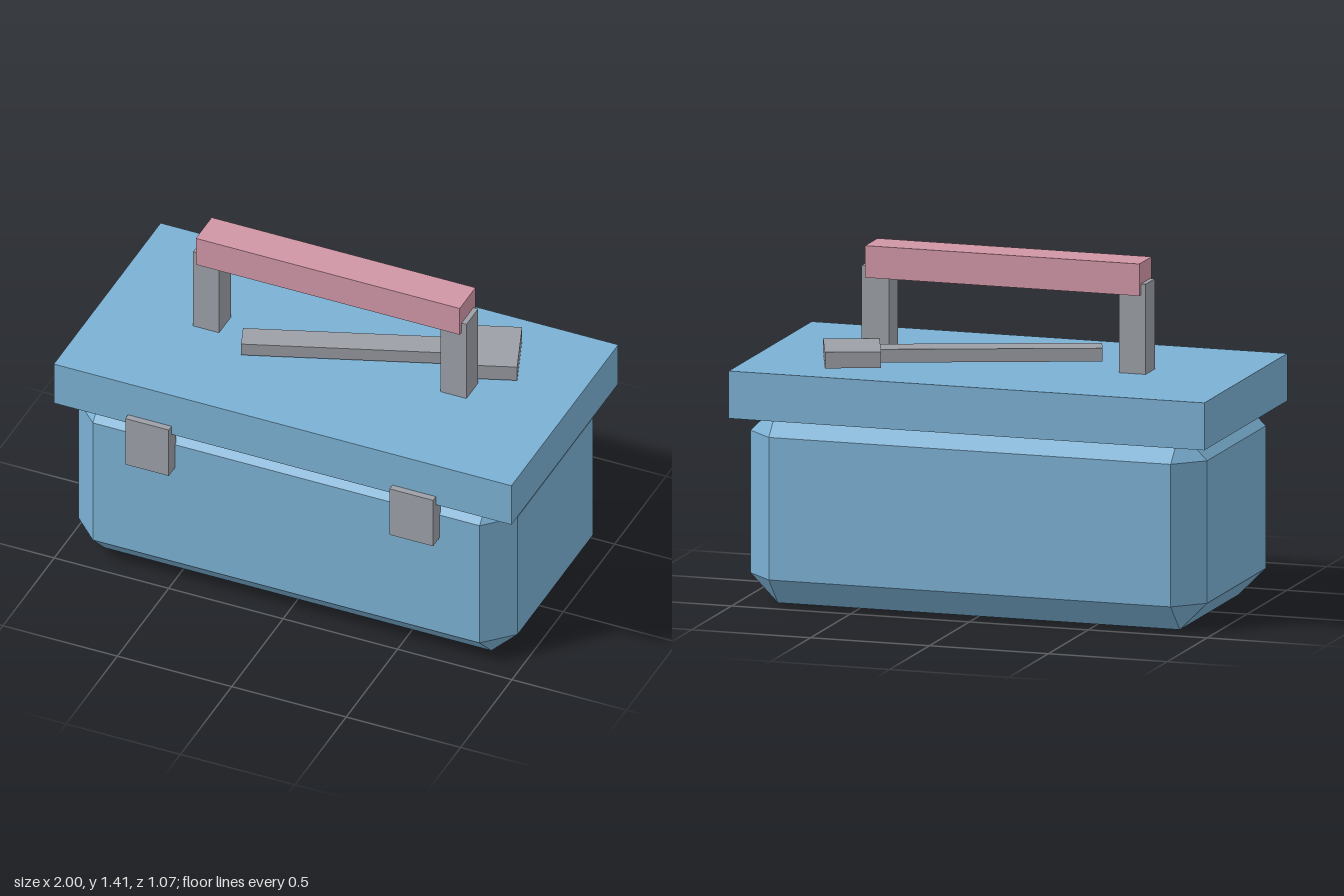
import * as THREE from 'three';
import { ConvexGeometry } from 'three/addons/geometries/ConvexGeometry.js';

const material = (name, color) => {
  const m = new THREE.MeshStandardMaterial({ color });
  m.name = name;
  return m;
};

// Box given by its minimum and maximum on each axis
function block(name, mat, [x0, x1], [y0, y1], [z0, z1]) {
  const mesh = new THREE.Mesh(new THREE.BoxGeometry(x1 - x0, y1 - y0, z1 - z0), mat);
  mesh.position.set((x0 + x1) / 2, (y0 + y1) / 2, (z0 + z1) / 2);
  mesh.name = name;
  return mesh;
}

// Box with every edge chamfered by c and a triangle at each corner
function chamferedBox(w, h, d, c) {
  const points = [];
  for (const sx of [-1, 1]) for (const sy of [-1, 1]) for (const sz of [-1, 1]) {
    const x = w / 2, y = h / 2, z = d / 2;
    for (const [a, b, e] of [[x, y - c, z - c], [x - c, y, z - c], [x - c, y - c, z]]) {
      points.push(new THREE.Vector3(sx * a, sy * b, sz * e));
    }
  }
  return new ConvexGeometry(points);
}

export function createModel() {
  const blue = material('blue paint', 0x7bb0d3);
  const grey = material('grey metal', 0x9c9fa6);
  const pink = material('pink grip', 0xd095a5);
  const model = new THREE.Group();
  model.name = 'toolbox';

  // Chamfered body and overhanging lid
  const body = new THREE.Mesh(chamferedBox(1.92, 0.81, 0.965, 0.115), blue);
  body.position.set(0, 0.405, -0.0125);
  body.name = 'body';
  model.add(body, block('lid', blue, [-1, 1], [0.77, 0.963], [-0.535, 0.505]));

  // Latches on the front
  model.add(block('rightLatch', grey, [-0.675, -0.485], [0.583, 0.81], [0.46, 0.533]));
  model.add(block('leftLatch', grey, [0.48, 0.67], [0.583, 0.81], [0.46, 0.533]));

  // Carrying handle
  model.add(block('rightHandlePost', grey, [-0.598, -0.485], [0.95, 1.33], [-0.072, 0.043]));
  model.add(block('leftHandlePost', grey, [0.482, 0.596], [0.95, 1.33], [-0.072, 0.043]));
  model.add(block('handleGrip', pink, [-0.578, 0.575], [1.285, 1.415], [-0.092, 0.062]));

  // Hammer lying diagonally on the lid
  const hammer = new THREE.Group();
  hammer.name = 'hammer';
  hammer.add(block('hammerShaft', grey, [0, 0.9], [0.976, 1.03], [-0.054, 0.054]));
  hammer.add(block('hammerHead', grey, [0.885, 1.11], [0.97, 1.036], [-0.133, 0.137]));
  hammer.position.set(-0.355, 0, 0.109);
  hammer.rotation.y = THREE.MathUtils.degToRad(20);
  model.add(hammer);

  return model;
}
